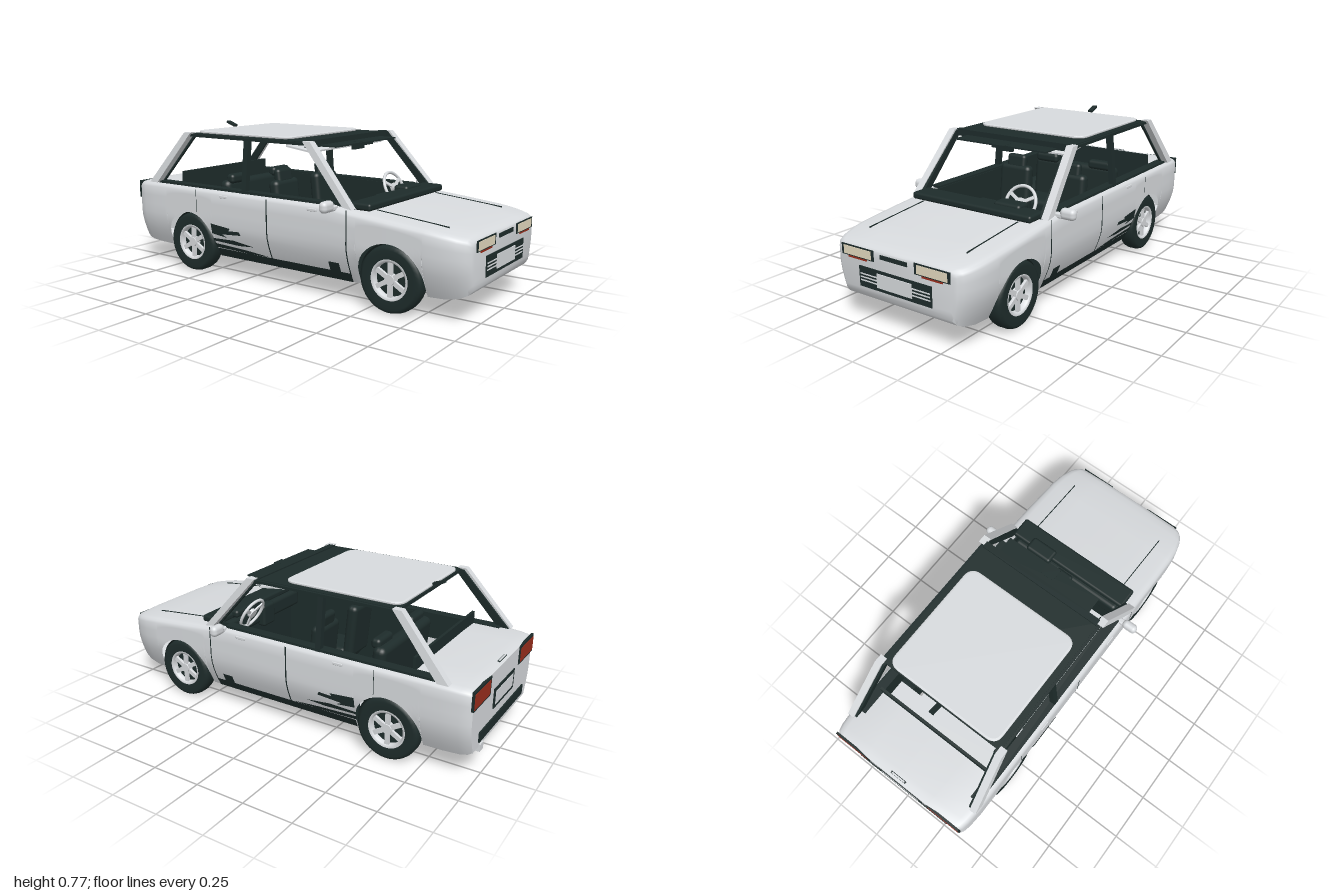
import * as THREE from 'three';
import { toCreasedNormals } from 'three/addons/utils/BufferGeometryUtils.js';
import { RoundedBoxGeometry } from 'three/addons/geometries/RoundedBoxGeometry.js';

const mat = (name, color) => {
  const m = new THREE.MeshStandardMaterial({ color, side: THREE.DoubleSide });
  m.name = name;
  return m;
};
const paint = mat('silver paint', 0xd8dbde);
const trim = mat('dark trim', 0x1e2c2b);
const lens = mat('headlight lens', 0xe4dac0);
const red = mat('red lens', 0x9a2e1c);

const AXLES = [0.62, -0.59], WHEEL_R = 0.155, ARCH_R = 0.166;

function add(parent, name, geo, material, x = 0, y = 0, z = 0) {
  const m = new THREE.Mesh(geo, material);
  m.name = name;
  m.position.set(x, y, z);
  parent.add(m);
  return m;
}
// Box given by its limits on each axis
const box = (p, name, m, x0, x1, y0, y1, z0, z1) => add(p, name,
  new THREE.BoxGeometry(x1 - x0, y1 - y0, Math.abs(z1 - z0)), m, (x0 + x1) / 2, (y0 + y1) / 2, (z0 + z1) / 2);
const soft = (p, name, m, w, h, d, x, y, z, r = 0.015) =>
  add(p, name, new RoundedBoxGeometry(w, h, d, 3, r), m, x, y, z);
// Side outline of [z, y] points
const sideShape = pts => new THREE.Shape(pts.map(([z, y]) => new THREE.Vector2(-z, y)));
// Side outline made thick from x0 to x1, leaning inwards with height
function prism(p, name, m, pts, x0, x1, lean = 0.1) {
  const g = new THREE.ExtrudeGeometry(sideShape(pts), { depth: x1 - x0, bevelEnabled: false }).rotateY(Math.PI / 2);
  const a = g.attributes.position;
  for (let i = 0; i < a.count; i++) a.setX(i, a.getX(i) + x0 - (a.getY(i) - 0.46) * lean);
  g.computeVertexNormals();
  return add(p, name, g, m);
}
// Lower body tucks in towards the sill
const tuck = y => 1 - 0.16 * Math.pow(Math.max(0, 0.28 - y) / 0.18, 1.5);
// Thin plate pressed onto the body side
function decal(p, name, m, geo) {
  geo.rotateY(Math.PI / 2);
  const a = geo.attributes.position;
  for (let i = 0; i < a.count; i++) a.setX(i, 0.4 * tuck(a.getY(i)) + 0.003);
  geo.computeVertexNormals();
  add(p, name, geo, m);
}
const strip = (p, name, m, z0, z1, y0, y1) => decal(p, name, m,
  new THREE.PlaneGeometry(z1 - z0, y1 - y0, 1, 8).translate(-(z0 + z1) / 2, (y0 + y1) / 2, 0));

// Body shell: cross-sections lofted from nose to tail, [z, top, bottom, half width]
function bodyGeometry() {
  const table = [
    [0.992, 0.37, 0.18, 0.32], [0.985, 0.378, 0.155, 0.336], [0.967, 0.385, 0.133, 0.354], [0.93, 0.392, 0.114, 0.373],
    [0.87, 0.402, 0.102, 0.389], [0.8, 0.411, 0.1, 0.396], [0.6, 0.43, 0.1, 0.4], [0.42, 0.446, 0.1, 0.4],
    [0.3, 0.46, 0.1, 0.4], [-0.69, 0.462, 0.1, 0.4], [-0.77, 0.462, 0.112, 0.4], [-0.85, 0.461, 0.114, 0.4],
    [-0.93, 0.458, 0.118, 0.394], [-0.965, 0.455, 0.126, 0.386], [-0.985, 0.449, 0.138, 0.374]];
  const zs = table.map(r => r[0]);
  for (const c of AXLES) {
    for (let k = 0; k <= 18; k++) zs.push(c + ARCH_R * Math.cos(k * Math.PI / 18));
    zs.push(c + ARCH_R + 0.001, c - ARCH_R - 0.001);
  }
  zs.sort((a, b) => b - a);
  const rings = zs.map(z => {
    let i = 0;
    while (i < table.length - 2 && table[i + 1][0] > z) i++;
    const t = (table[i][0] - z) / (table[i][0] - table[i + 1][0]);
    let [T, B, W] = [1, 2, 3].map(k => table[i][k] + (table[i + 1][k] - table[i][k]) * t);
    for (const c of AXLES) {
      const d = ARCH_R * ARCH_R - (z - c) ** 2;
      if (d > -1e-6) B = Math.max(B, WHEEL_R + Math.sqrt(Math.max(0, d)));
    }
    const half = [0, 0.12, 0.25, 0.4, 0.55, 0.7, 0.85, 1].map(f => {
      const y = B + (T - 0.03 - B) * f;
      return [W * tuck(y), y, z];
    });
    half.push([W * 0.985, T - 0.019, z], [W * 0.955, T - 0.01, z], [W * 0.9, T - 0.005, z], [W * 0.5, T, z], [0, T, z]);
    return half.concat(half.slice(0, -1).reverse().map(([x, y]) => [-x, y, z]));
  });
  const n = rings[0].length, v = [];
  const tri = (...p) => p.forEach(q => v.push(...q));
  for (let i = 0; i < rings.length - 1; i++) {
    const A = rings[i], C = rings[i + 1];
    const cabin = A[0][2] < 0.421 && C[0][2] > -0.691;
    for (let j = 0; j < n - 1; j++) {
      if (cabin && j >= 10 && j <= 13) continue;
      tri(A[j], C[j], A[j + 1]);
      tri(A[j + 1], C[j], C[j + 1]);
    }
    // Underside of the nose and tail
    if (C[0][2] > AXLES[0] + ARCH_R || A[0][2] < AXLES[1] - ARCH_R) {
      tri(A[n - 1], C[n - 1], A[0]);
      tri(A[0], C[n - 1], C[0]);
    }
  }
  // Nose and tail faces
  const F = rings[0], R = rings[rings.length - 1];
  for (let j = 0; j < (n - 1) / 2; j++) {
    const k = n - 1 - j;
    tri(F[k], F[j], F[j + 1]); tri(F[k], F[j + 1], F[k - 1]);
    tri(R[j], R[k], R[j + 1]); tri(R[j + 1], R[k], R[k - 1]);
  }
  const g = new THREE.BufferGeometry();
  g.setAttribute('position', new THREE.Float32BufferAttribute(v, 3));
  return toCreasedNormals(g, 0.85);
}

// Wheel with its axle along x and the outer face at +x
function wheel() {
  const g = new THREE.Group();
  g.name = 'wheel';
  const lathe = pts => new THREE.LatheGeometry(pts.map(p => new THREE.Vector2(...p)), 40).rotateZ(-Math.PI / 2);
  add(g, 'tyre', lathe([[0.092, -0.04], [0.135, -0.043], [0.15, -0.034], [0.155, -0.015], [0.155, 0.015],
    [0.15, 0.034], [0.135, 0.043], [0.092, 0.038]]), trim);
  add(g, 'rim', lathe([[0.078, 0.01], [0.08, 0.034], [0.092, 0.041], [0.095, 0.036]]), paint);
  for (const x of [0.008, -0.038]) add(g, 'wheelDisc', new THREE.CircleGeometry(0.094, 32).rotateY(Math.PI / 2), trim, x);
  add(g, 'hub', new THREE.CylinderGeometry(0.024, 0.028, 0.03, 20).rotateZ(-Math.PI / 2), paint, 0.022);
  for (let i = 0; i < 6; i++)
    add(g, 'spoke', new THREE.BoxGeometry(0.014, 0.07, 0.022).translate(0.025, 0.05, 0), paint).rotation.x = i * Math.PI / 3;
  return g;
}

// Everything that appears on both sides, built for +x
function sideParts() {
  const s = new THREE.Group();
  for (const z of AXLES) {
    const w = wheel();
    w.position.set(0.342, WHEEL_R, z);
    s.add(w);
    add(s, 'archLiner', new THREE.CylinderGeometry(0.163, 0.163, 0.098, 24, 1, true, 0, Math.PI).rotateZ(Math.PI / 2), trim, 0.311, WHEEL_R, z);
    add(s, 'archInner', new THREE.CircleGeometry(0.163, 24, 0, Math.PI).rotateY(Math.PI / 2), trim, 0.262, WHEEL_R, z);
  }
  // Pillars and roof rail
  prism(s, 'frontPillar', paint, [[0.435, 0.448], [0.385, 0.455], [0.14, 0.733], [0.185, 0.733]], 0.362, 0.4);
  prism(s, 'frontPillarTrim', trim, [[0.425, 0.455], [0.375, 0.455], [0.13, 0.73], [0.175, 0.73]], 0.346, 0.362, 0.06);
  prism(s, 'rearPillar', paint, [[-0.825, 0.455], [-0.88, 0.455], [-0.635, 0.733], [-0.59, 0.733]], 0.362, 0.398);
  prism(s, 'rearPillarTrim', trim, [[-0.815, 0.455], [-0.87, 0.455], [-0.625, 0.725], [-0.58, 0.725]], 0.35, 0.362);
  prism(s, 'middlePillar', trim, [[-0.207, 0.44], [-0.235, 0.44], [-0.235, 0.72], [-0.207, 0.72]], 0.352, 0.38);
  box(s, 'roofRail', trim, 0.325, 0.358, 0.712, 0.725, -0.61, 0.16);
  // Door trim
  box(s, 'doorLiner', trim, 0.325, 0.333, 0.11, 0.455, -0.42, 0.42);
  box(s, 'rearLiner', trim, 0.335, 0.343, 0.325, 0.455, -0.69, -0.42);
  box(s, 'windowSill', trim, 0.33, 0.38, 0.452, 0.464, -0.83, 0.32);
  strip(s, 'sill', trim, -0.42, 0.41, 0.1, 0.145);
  strip(s, 'sillBlock', trim, 0.295, 0.355, 0.13, 0.19);
  strip(s, 'frontDoorSeam', trim, 0.405, 0.411, 0.13, 0.445);
  strip(s, 'rearDoorSeam', trim, -0.059, -0.052, 0.13, 0.445);
  strip(s, 'quarterSeam', trim, -0.531, -0.528, 0.325, 0.445);
  for (const z of [0.215, -0.34]) soft(s, 'doorHandle', paint, 0.008, 0.014, 0.055, 0.4, 0.425, z, 0.003);
  // Shard pattern ahead of the rear wheel
  const shards = [
    [[-0.24, 0.258], [-0.31, 0.254], [-0.3, 0.268], [-0.43, 0.28], [-0.43, 0.226], [-0.33, 0.215], [-0.36, 0.23], [-0.23, 0.24]],
    [[-0.16, 0.188], [-0.29, 0.205], [-0.43, 0.2], [-0.43, 0.186], [-0.26, 0.18]],
    [[-0.07, 0.148], [-0.22, 0.162], [-0.43, 0.172], [-0.425, 0.15], [-0.2, 0.145]]];
  for (const pts of shards) decal(s, 'sideShard', trim, new THREE.ShapeGeometry(sideShape(pts)));
  // Door mirror
  soft(s, 'mirrorStem', paint, 0.06, 0.025, 0.03, 0.4, 0.446, 0.33, 0.008);
  soft(s, 'mirror', paint, 0.08, 0.054, 0.044, 0.441, 0.458, 0.328, 0.021);
  // Bonnet seam
  const seam = box(s, 'bonnetSeam', trim, 0.279, 0.283, -0.003, 0.003, -0.18, 0.18);
  seam.position.set(0.281, 0.4205, 0.675);
  seam.rotation.x = 0.093;
  // Lights
  box(s, 'headlightFrame', trim, 0.117, 0.309, 0.32, 0.37, 0.9925, 0.996);
  box(s, 'headlight', lens, 0.131, 0.295, 0.325, 0.364, 0.9925, 0.998);
  box(s, 'indicator', red, 0.16, 0.27, 0.313, 0.32, 0.9925, 0.998);
  box(s, 'tailLightFrame', trim, 0.185, 0.38, 0.357, 0.449, -0.99, -0.978);
  box(s, 'tailLight', red, 0.198, 0.376, 0.366, 0.437, -0.992, -0.986);
  // Grille slats
  for (const y of [0.222, 0.237, 0.252]) box(s, 'grilleSlat', paint, 0.1, 0.2, y - 0.003, y + 0.003, 0.993, 0.998);
  // Front seat
  soft(s, 'seatCushion', trim, 0.2, 0.09, 0.24, 0.17, 0.22, 0.02, 0.03);
  soft(s, 'seatBack', trim, 0.19, 0.29, 0.06, 0.17, 0.365, -0.12, 0.025).rotation.x = -0.1;
  soft(s, 'headrest', trim, 0.115, 0.075, 0.04, 0.17, 0.527, -0.137, 0.018).rotation.x = -0.15;
  soft(s, 'rearHeadrest', trim, 0.14, 0.05, 0.05, 0.17, 0.488, -0.445, 0.018);
  return s;
}

export function createModel() {
  const car = new THREE.Group();
  car.name = 'car';
  add(car, 'bodyShell', bodyGeometry(), paint);
  const left = sideParts(), right = sideParts();
  left.name = 'leftSide';
  right.name = 'rightSide';
  right.scale.x = -1;
  car.add(left, right);

  // Floor and bulkheads
  box(car, 'floor', paint, -0.335, 0.335, 0.1, 0.11, -0.42, 0.45);
  box(car, 'rearFloor', paint, -0.262, 0.262, 0.1, 0.11, -0.76, -0.42);
  box(car, 'firewall', trim, -0.34, 0.34, 0.11, 0.445, 0.42, 0.428);
  box(car, 'rearWall', trim, -0.335, 0.335, 0.32, 0.52, -0.697, -0.684);
  box(car, 'rearShelf', paint, -0.335, 0.335, 0.32, 0.328, -0.684, -0.58);

  // Roof
  box(car, 'roofFrame', trim, -0.345, 0.345, 0.713, 0.728, -0.61, 0.155);
  box(car, 'windscreenHeader', trim, -0.34, 0.34, 0.7, 0.735, 0.13, 0.165);
  const r = new THREE.Shape(), w = 0.305, c = 0.05;
  r.moveTo(-w, c).lineTo(-w, 0.6 - c).quadraticCurveTo(-w, 0.595, c - w, 0.595).lineTo(w - c, 0.595)
    .quadraticCurveTo(w, 0.595, w, 0.6 - c).lineTo(w, c).quadraticCurveTo(w, 0, w - c, 0).lineTo(c - w, 0).quadraticCurveTo(-w, 0, -w, c);
  add(car, 'roofPanel', new THREE.ExtrudeGeometry(r, { depth: 0.006, bevelThickness: 0.004, bevelSize: 0.01, bevelSegments: 2 })
    .rotateX(-Math.PI / 2), paint, 0, 0.731, 0);
  box(car, 'sunVisor', trim, -0.27, 0.27, 0.702, 0.709, 0.15, 0.26);
  box(car, 'headliner', paint, -0.315, 0.315, 0.684, 0.692, 0, 0.15).rotation.x = 0.13;
  box(car, 'insideMirror', trim, -0.045, 0.045, 0.67, 0.697, 0.195, 0.215);
  box(car, 'mirrorMount', trim, -0.035, 0.035, 0.695, 0.71, 0.2, 0.27);
  box(car, 'antenna', trim, -0.013, 0.013, 0.749, 0.761, -0.67, -0.61).rotation.x = 0.35;

  // Dashboard and steering wheel
  soft(car, 'cowl', trim, 0.7, 0.034, 0.115, 0, 0.457, 0.443, 0.012);
  soft(car, 'dashboard', trim, 0.65, 0.09, 0.07, 0, 0.4, 0.395, 0.02);
  soft(car, 'instrumentHood', trim, 0.15, 0.04, 0.08, 0.17, 0.468, 0.395);
  soft(car, 'centreConsole', trim, 0.1, 0.12, 0.05, 0, 0.4, 0.355);
  const steer = new THREE.Group();
  steer.name = 'steeringWheel';
  add(steer, 'wheelRing', new THREE.TorusGeometry(0.083, 0.008, 10, 36), paint);
  add(steer, 'wheelHub', new THREE.CylinderGeometry(0.025, 0.025, 0.02, 20).rotateX(Math.PI / 2), paint);
  for (let i = 0; i < 3; i++)
    add(steer, 'wheelSpoke', new THREE.BoxGeometry(0.016, 0.075, 0.008).translate(0, -0.045, 0), paint).rotation.z = i * Math.PI * 2 / 3;
  steer.position.set(0.17, 0.462, 0.318);
  steer.rotation.x = -0.45;
  car.add(steer);

  // Rear bench
  soft(car, 'benchCushion', trim, 0.52, 0.1, 0.2, 0, 0.23, -0.36, 0.03);
  soft(car, 'benchBack', trim, 0.52, 0.26, 0.07, 0, 0.35, -0.46, 0.03).rotation.x = -0.1;

  // Nose details
  box(car, 'noseSlot', trim, -0.077, 0.077, 0.341, 0.36, 0.9925, 0.997);
  box(car, 'lowerGrille', trim, -0.208, 0.208, 0.191, 0.286, 0.9925, 0.996);
  box(car, 'frontPlate', paint, -0.1, 0.1, 0.207, 0.272, 0.993, 1);

  // Tail details
  box(car, 'rearPlateFrame', trim, -0.13, 0.13, 0.262, 0.36, -0.99, -0.9855);
  box(car, 'rearPlate', paint, -0.112, 0.112, 0.278, 0.344, -0.992, -0.986);
  box(car, 'rearBumperStrip', trim, -0.28, 0.28, 0.165, 0.214, -0.992, -0.9855);
  box(car, 'bootSlot', trim, -0.045, 0.045, 0.451, 0.457, -0.972, -0.96);
  box(car, 'bootHandle', paint, -0.038, 0.038, 0.451, 0.46, -0.971, -0.963);
  box(car, 'exhaust', paint, 0.225, 0.265, 0.112, 0.148, -0.992, -0.9);
  return car;
}
